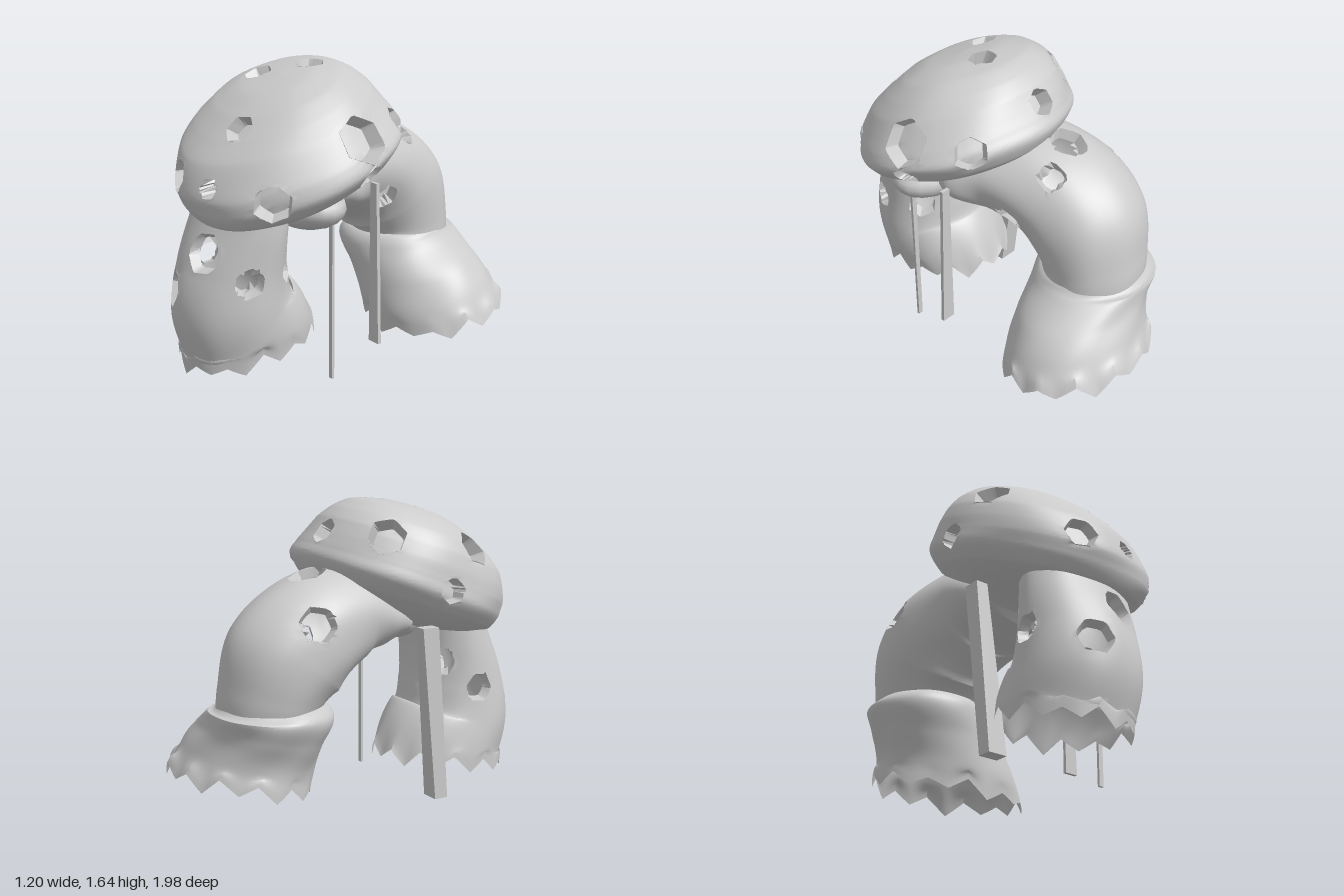
import * as THREE from 'three';
import { toCreasedNormals } from 'three/addons/utils/BufferGeometryUtils.js';

const V = (x, y, z) => new THREE.Vector3(x, y, z);
const material = new THREE.MeshStandardMaterial({ color: 0xcccccc, side: THREE.DoubleSide });

// repeatable value in 0..1 for a whole number
const hash = (n) => { const s = Math.sin(n * 127.1 + 11.7) * 43758.5453; return s - Math.floor(s); };

// Rings are [x, y, z, width radius, depth radius]; skin them and sink six-sided holes.
function loft(name, rings, { nu = 96, nv = 50, holes = [], axis, core, depth = 0.07, open = true, jag = 0, lump = 0.01 }) {
  const path = new THREE.CatmullRomCurve3(rings.map((r) => V(r[0], r[1], r[2])));
  const radii = new THREE.CatmullRomCurve3(rings.map((r) => V(r[3], r[4], 0)));
  const side = V(1, 0, 0), pts = [], centres = [];
  for (let j = 0; j <= nv; j++) {
    const v = j / nv, c = path.getPoint(v), r = radii.getPoint(v), t = axis ? axis.clone() : path.getTangent(v);
    t.x = 0;
    const out = t.normalize().cross(side);
    for (let i = 0; i < nu; i++) {
      const a = (i / nu) * Math.PI * 2;
      const k = 1 + lump * (Math.sin(3 * a + 5 * v) + Math.sin(7 * a - 9 * v) * 0.7);
      const p = c.clone().addScaledVector(side, Math.cos(a) * r.x * k).addScaledVector(out, Math.sin(a) * r.y * k);
      // torn lower edge
      if (jag) {
        const tooth = i / 4, n = Math.floor(tooth), f = tooth - n, m = (n + 1) % (nu / 4);
        const h = THREE.MathUtils.lerp(hash(n) * 0.4 + (n % 2) * 0.6, hash(m) * 0.4 + (m % 2) * 0.6, f);
        p.y += jag * h * THREE.MathUtils.smoothstep(v, 0.75, 1);
      }
      pts.push(p);
      centres.push(core || c);
    }
  }
  // holes: rim points snap to a hexagon, inner points sink towards the core
  const inner = new Uint8Array(pts.length);
  const surface = pts.map((p) => p.clone());
  holes.forEach(([x, y, z, r], h) => {
    const target = V(x, y, z);
    let best = 0;
    surface.forEach((p, i) => { if (p.distanceTo(target) < surface[best].distanceTo(target)) best = i; });
    const c = surface[best], n = c.clone().sub(centres[best]).normalize();
    const t1 = V(0, 1, 0.3).cross(n).normalize(), t2 = n.clone().cross(t1);
    surface.forEach((p, i) => {
      const d = p.clone().sub(c), len = d.length();
      if (len > r * 1.4) return;
      const a = Math.atan2(d.dot(t2), d.dot(t1)) + h + Math.PI * 4, s = Math.PI / 3;
      const hex = 0.93 / Math.cos((a % s) - s / 2);
      const q = len / (r * hex);
      if (q > 1.15) return;
      if (q > 0.82) pts[i].copy(c).addScaledVector(d, 1 / q);
      else {
        if (q > 0.5) pts[i].copy(c).addScaledVector(d, 0.78 / q);
        pts[i].addScaledVector(n, -depth);
        inner[i] = 1;
      }
    });
  });
  const index = [];
  for (let j = 0; j < nv; j++) for (let i = 0; i < nu; i++) {
    const i2 = (i + 1) % nu;
    const a = j * nu + i, b = j * nu + i2, c = b + nu, d = a + nu;
    if (open && inner[a] && inner[b] && inner[c] && inner[d]) continue;
    index.push(a, b, c, a, c, d);
  }
  const g = new THREE.BufferGeometry().setFromPoints(pts);
  g.setIndex(index);
  const mesh = new THREE.Mesh(toCreasedNormals(g, 0.6), material);
  mesh.name = name;
  return mesh;
}

// Thin four-sided stalk between two [x, y, z, width, depth] ends
function stalk(name, top, bottom) {
  const g = new THREE.BoxGeometry(1, 1, 1), p = g.attributes.position;
  for (let i = 0; i < p.count; i++) {
    const e = p.getY(i) > 0 ? top : bottom;
    p.setXYZ(i, e[0] + p.getX(i) * e[3], e[1], e[2] + p.getZ(i) * e[4]);
  }
  g.computeVertexNormals();
  const mesh = new THREE.Mesh(g, material);
  mesh.name = name;
  return mesh;
}

export function createModel() {
  const group = new THREE.Group();
  group.name = 'hollowMushroom';

  // Tilted cap: [height along axis, sideways shift, forward shift, width radius, depth radius]
  const profile = [[0.392, -0.04, -0.12, 0, 0], [0.378, -0.05, -0.09, 0.22, 0.18], [0.33, -0.055, -0.085, 0.365, 0.335],
    [0.262, -0.055, -0.055, 0.455, 0.445], [0.19, -0.045, -0.02, 0.515, 0.53], [0.11, -0.03, 0, 0.555, 0.578],
    [0.035, -0.01, 0.01, 0.585, 0.612], [-0.03, 0, 0.005, 0.6, 0.62], [-0.12, 0, 0.03, 0.54, 0.575],
    [-0.185, 0, 0.05, 0.42, 0.45], [-0.23, 0, 0.02, 0.22, 0.23], [-0.24, 0, 0, 0, 0]];
  const capRings = profile.map(([h, x, t, rx, rz]) => [x, 1.2 + h * 0.94 - t * 0.34, 0.33 + h * 0.34 + t * 0.94, rx, rz]);
  group.add(loft('cap', capRings, {
    nu: 160, nv: 96, axis: V(0, -0.94, -0.34), core: V(0, 1.15, 0.33), depth: 0.08, open: false,
    holes: [
      [-0.45, 1.38, 0.5, 0.1], [0.1, 1.38, 0.7, 0.08], [-0.2, 1.1, 0.9, 0.09], [0.1, 1.1, 0.9, 0.055],
      [0.4, 1.06, 0.7, 0.1], [0.52, 1.33, 0.24, 0.13], [0.58, 1.13, 0.2, 0.07], [0.36, 1.34, -0.1, 0.09],
      [0, 1.62, 0.18, 0.075], [-0.2, 1.58, 0.38, 0.075], [-0.37, 1.46, 0.04, 0.1], [-0.08, 1.5, -0.18, 0.075],
      [-0.56, 1.2, 0.3, 0.07]],
  }));

  // Sagging bulge beneath the cap
  const bulge = new THREE.Mesh(new THREE.SphereGeometry(1, 20, 12), material);
  bulge.name = 'capUnderside';
  bulge.scale.set(0.29, 0.13, 0.19);
  bulge.position.set(0.18, 0.955, 0.37);
  group.add(bulge);

  // Front stem with a torn foot
  group.add(loft('frontStem', [
    [-0.02, 1.0, 0.6, 0.32, 0.2], [-0.03, 0.85, 0.63, 0.33, 0.22], [-0.05, 0.6, 0.67, 0.33, 0.28],
    [-0.06, 0.4, 0.67, 0.34, 0.325], [-0.07, 0.25, 0.6, 0.34, 0.37], [-0.08, 0.09, 0.57, 0.33, 0.39]], {
    jag: 0.13, depth: 0.06,
    holes: [[0.05, 0.73, 0.9, 0.11], [-0.18, 0.51, 0.97, 0.1], [0.24, 0.62, 0.75, 0.08], [0.2, 0.62, 0.5, 0.08],
      [-0.37, 0.6, 0.66, 0.08], [-0.25, 0.75, 0.46, 0.08]],
  }));

  // Rear stem bending back and down from beneath the cap
  group.add(loft('rearStem', [
    [0, 1.0, 0.25, 0.3, 0.13], [-0.01, 1.03, 0.13, 0.36, 0.2], [-0.07, 1.05, -0.05, 0.34, 0.27],
    [-0.13, 0.97, -0.3, 0.34, 0.31], [-0.14, 0.84, -0.45, 0.33, 0.33], [-0.13, 0.65, -0.53, 0.3, 0.28],
    [-0.11, 0.5, -0.53, 0.28, 0.28]], {
    nv: 64, depth: 0.06,
    holes: [[-0.14, 1.3, -0.31, 0.1], [0.07, 1.2, -0.38, 0.075], [-0.43, 1.06, -0.42, 0.1],
      [0.2, 0.86, -0.18, 0.08]],
  }));

  // Wide torn sleeve around the foot of the rear stem
  group.add(loft('rearSkirt', [
    [-0.12, 0.61, -0.53, 0.29, 0.27], [-0.13, 0.56, -0.53, 0.34, 0.33], [-0.02, 0.42, -0.55, 0.4, 0.33],
    [0.06, 0.28, -0.58, 0.42, 0.355], [0.09, 0.09, -0.62, 0.45, 0.38]], { jag: 0.13, nv: 30 }));

  // Hanging stalks
  group.add(stalk('rightStalk', [-0.4, 0.98, 0.28, 0.07, 0.1], [-0.36, 0.01, 0.375, 0.11, 0.08]));
  group.add(stalk('leftFrontStalk', [0.395, 1.0, 0.34, 0.03, 0.015], [0.39, 0.02, 0.34, 0.028, 0.015]));
  group.add(stalk('leftRearStalk', [0.41, 1.06, 0.07, 0.05, 0.02], [0.42, 0.17, 0.07, 0.08, 0.02]));

  return group;
}
